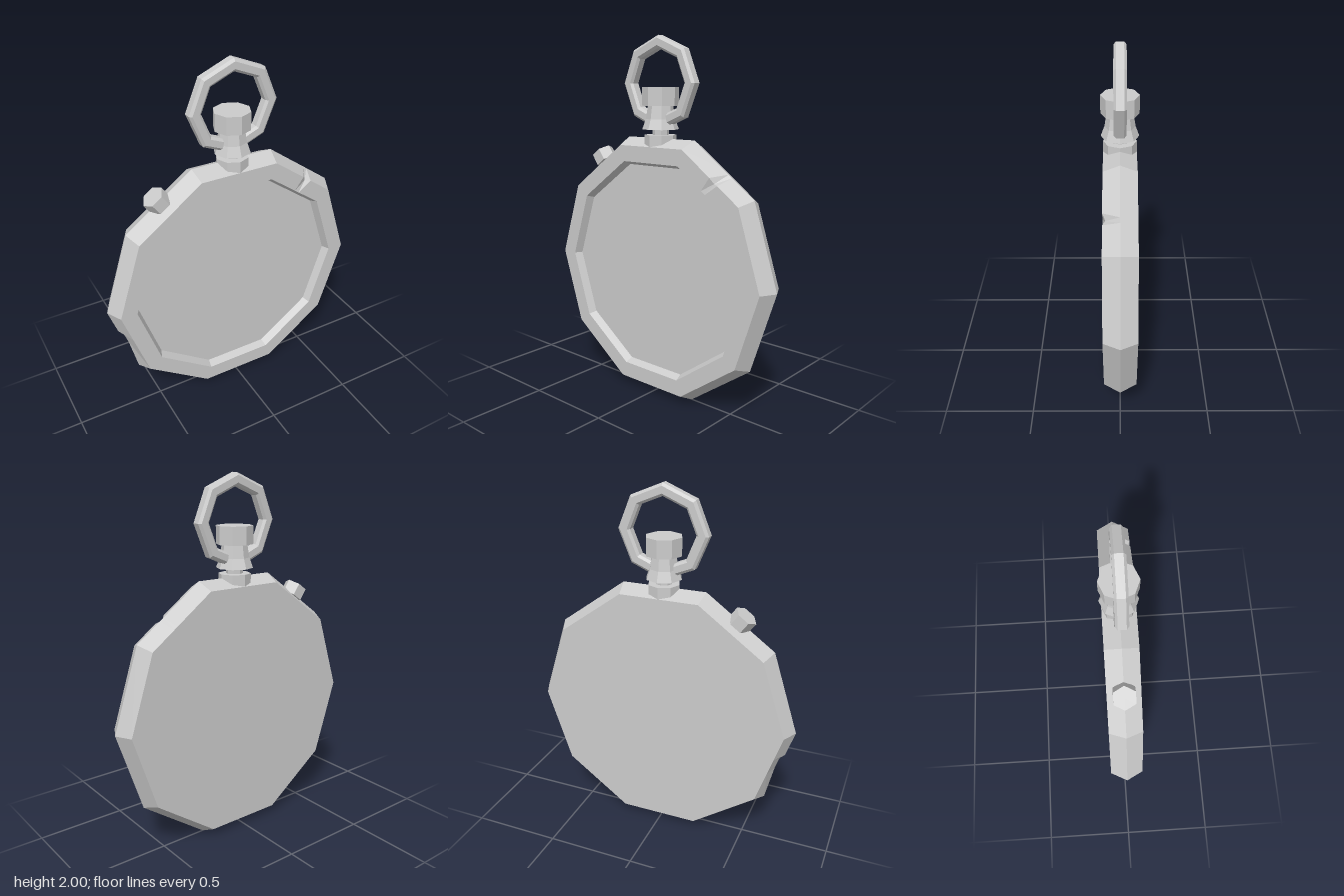
import * as THREE from 'three';

const material = new THREE.MeshStandardMaterial({ color: 0xcccccc, flatShading: true, side: THREE.DoubleSide });

function add(group, name, geometry, x = 0, y = 0, z = 0) {
  const mesh = new THREE.Mesh(geometry, material);
  mesh.name = name;
  mesh.position.set(x, y, z);
  group.add(mesh);
  return mesh;
}

// Joins closed loops of equal length with quads; optionally fans the ends shut.
function loft(loops, capStart = false, capEnd = false) {
  const n = loops[0].length;
  const points = loops.flat();
  const index = [];
  for (let k = 0; k < loops.length - 1; k++) {
    for (let i = 0; i < n; i++) {
      const a = k * n + i, b = k * n + (i + 1) % n;
      index.push(a, b, b + n, a, b + n, a + n);
    }
  }
  const cap = (start, flip) => {
    const centre = points.length;
    points.push(new THREE.Vector3(0, 0, points[start].z));
    for (let i = 0; i < n; i++) {
      const a = start + i, b = start + (i + 1) % n;
      index.push(centre, flip ? b : a, flip ? a : b);
    }
  };
  if (capStart) cap(0, true);
  if (capEnd) cap((loops.length - 1) * n, false);
  const geometry = new THREE.BufferGeometry().setFromPoints(points);
  geometry.setIndex(index);
  const flat = geometry.toNonIndexed();
  flat.computeVertexNormals();
  return flat;
}

// Ten-sided loop, with extra points on the two chipped edges
const rimChip = [0.33, 0.4, 0.56];
const bezelChip = [0.36, 0.42, 0.5];
function decagon(radius, z, chip = () => {}) {
  const corner = i => new THREE.Vector3(Math.cos(i * Math.PI / 5) * radius, Math.sin(i * Math.PI / 5) * radius, z);
  const loop = [];
  for (let i = 0; i < 10; i++) {
    loop.push(corner(i));
    const extras = i === 5 ? rimChip : i === 1 ? bezelChip : [];
    extras.forEach((t, k) => {
      const p = corner(i).lerp(corner(i + 1), t);
      chip(p, i, k);
      loop.push(p);
    });
  }
  return loop;
}

export function createModel() {
  const watch = new THREE.Group();
  watch.name = 'pocketWatch';
  const centreY = 0.728;

  // Case: flat back, ridged rim, flat bezel and sloping inner lip
  add(watch, 'case', loft([
    decagon(0.72, -0.088),
    decagon(0.765, 0, (p, edge, k) => { if (edge === 5 && k > 0) p.multiplyScalar(0.975); }),
    decagon(0.72, 0.088, (p, edge, k) => { if (edge === 1 && k === 1) { p.multiplyScalar(0.98); p.z -= 0.014; } }),
    decagon(0.627, 0.088),
    decagon(0.607, 0.045),
  ], true), 0, centreY);

  // Recessed dial
  add(watch, 'dial', loft([decagon(0.607, 0.045), decagon(0.3, 0.045)], false, true), 0, centreY);

  // Winding stem, from collar up to crown
  add(watch, 'collar', new THREE.CylinderGeometry(0.088, 0.088, 0.065, 8), 0, 1.443);
  add(watch, 'stem', new THREE.CylinderGeometry(0.045, 0.045, 0.08, 8), 0, 1.49);
  const neckProfile = [[0, 1.505], [0.1, 1.505], [0.08, 1.56], [0.068, 1.635], [0, 1.635]];
  add(watch, 'neck', new THREE.LatheGeometry(neckProfile.map(([x, y]) => new THREE.Vector2(x, y)), 8));
  add(watch, 'crown', new THREE.CylinderGeometry(0.1, 0.1, 0.098, 8), 0, 1.68);

  // Eight-sided bow with chamfered edges; its foot passes through the neck
  const section = [
    [0.25, -0.02], [0.25, 0.02], [0.235, 0.032], [0.197, 0.032],
    [0.183, 0.02], [0.183, -0.02], [0.197, -0.032], [0.235, -0.032], [0.25, -0.02],
  ];
  add(watch, 'bow', loft(section.map(([radius, z]) =>
    Array.from({ length: 8 }, (_, i) => {
      const a = i * Math.PI / 4;
      return new THREE.Vector3(Math.cos(a) * radius, Math.sin(a) * radius, z);
    }))), 0, 1.75);

  // Six-sided push button on the upper right edge of the case
  const tilt = Math.PI / 5;
  const reach = 0.728 + 0.015;
  const button = add(watch, 'pushButton',
    new THREE.CylinderGeometry(0.065, 0.065, 0.07, 6, 1, false, Math.PI / 2),
    -Math.sin(tilt) * reach, centreY + Math.cos(tilt) * reach, 0);
  button.rotation.z = tilt;

  return watch;
}
